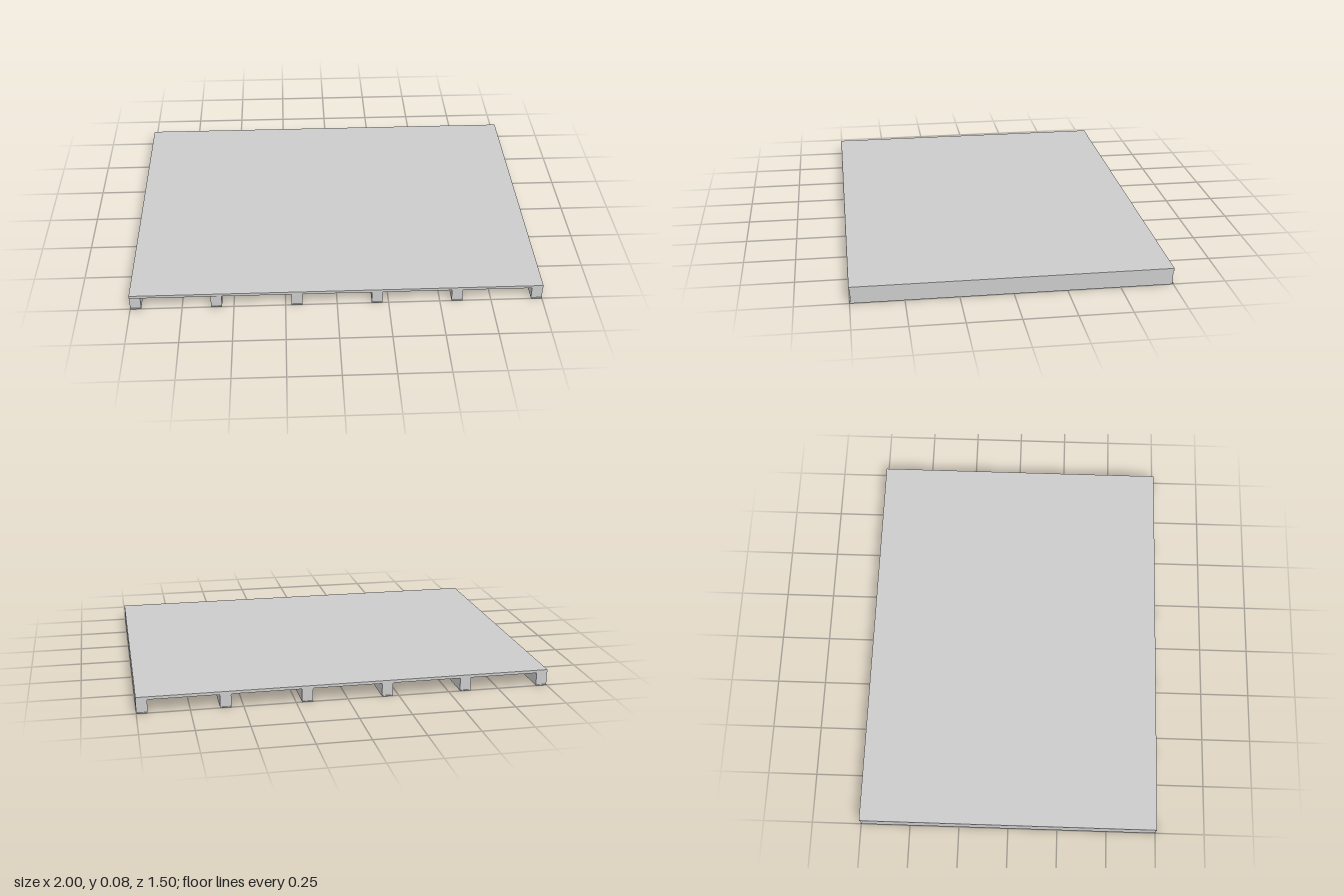
import * as THREE from 'three';

const DEPTH = 1.504, TOP = 0.081, UNDER = 0.067;
const BEAM_W = 0.053, FOOT_H = 0.004, INSET = 0.005, FILLET = 0.009;

const material = new THREE.MeshStandardMaterial({ color: 0xcccccc, flatShading: true });

function addBox(parent, name, w, y0, y1, d) {
  const mesh = new THREE.Mesh(new THREE.BoxGeometry(w, y1 - y0, d), material);
  mesh.name = name;
  mesh.position.y = (y0 + y1) / 2;
  parent.add(mesh);
}

// Beam section, widening in a small fillet where it meets the deck
function beamSection(filletLeft, filletRight) {
  const h = BEAM_W / 2, s = new THREE.Shape();
  s.moveTo(-h, FOOT_H);
  s.lineTo(h, FOOT_H);
  if (filletRight) {
    s.lineTo(h, UNDER - FILLET);
    s.quadraticCurveTo(h, UNDER, h + FILLET, UNDER);
  } else s.lineTo(h, UNDER);
  if (filletLeft) {
    s.lineTo(-h - FILLET, UNDER);
    s.quadraticCurveTo(-h, UNDER, -h, UNDER - FILLET);
  } else s.lineTo(-h, UNDER);
  s.closePath();
  return s;
}

export function createModel() {
  const model = new THREE.Group();
  model.name = 'platform';

  addBox(model, 'deck', 2, UNDER, TOP, DEPTH);

  // Six evenly spaced beams, the outer two flush with the deck edges
  const count = 6, first = -1 + BEAM_W / 2, step = (2 - BEAM_W) / (count - 1);
  for (let i = 0; i < count; i++) {
    const beam = new THREE.Group();
    beam.name = 'beam';
    beam.position.x = first + i * step;

    const length = DEPTH - 2 * INSET;
    const geometry = new THREE.ExtrudeGeometry(beamSection(i > 0, i < count - 1),
      { depth: length, bevelEnabled: false, curveSegments: 5 });
    geometry.translate(0, 0, -length / 2);
    const web = new THREE.Mesh(geometry, material);
    web.name = 'beamBody';
    beam.add(web);

    // Thin foot reaching just past the beam ends
    addBox(beam, 'beamFoot', BEAM_W, 0, FOOT_H, DEPTH);
    model.add(beam);
  }
  return model;
}
